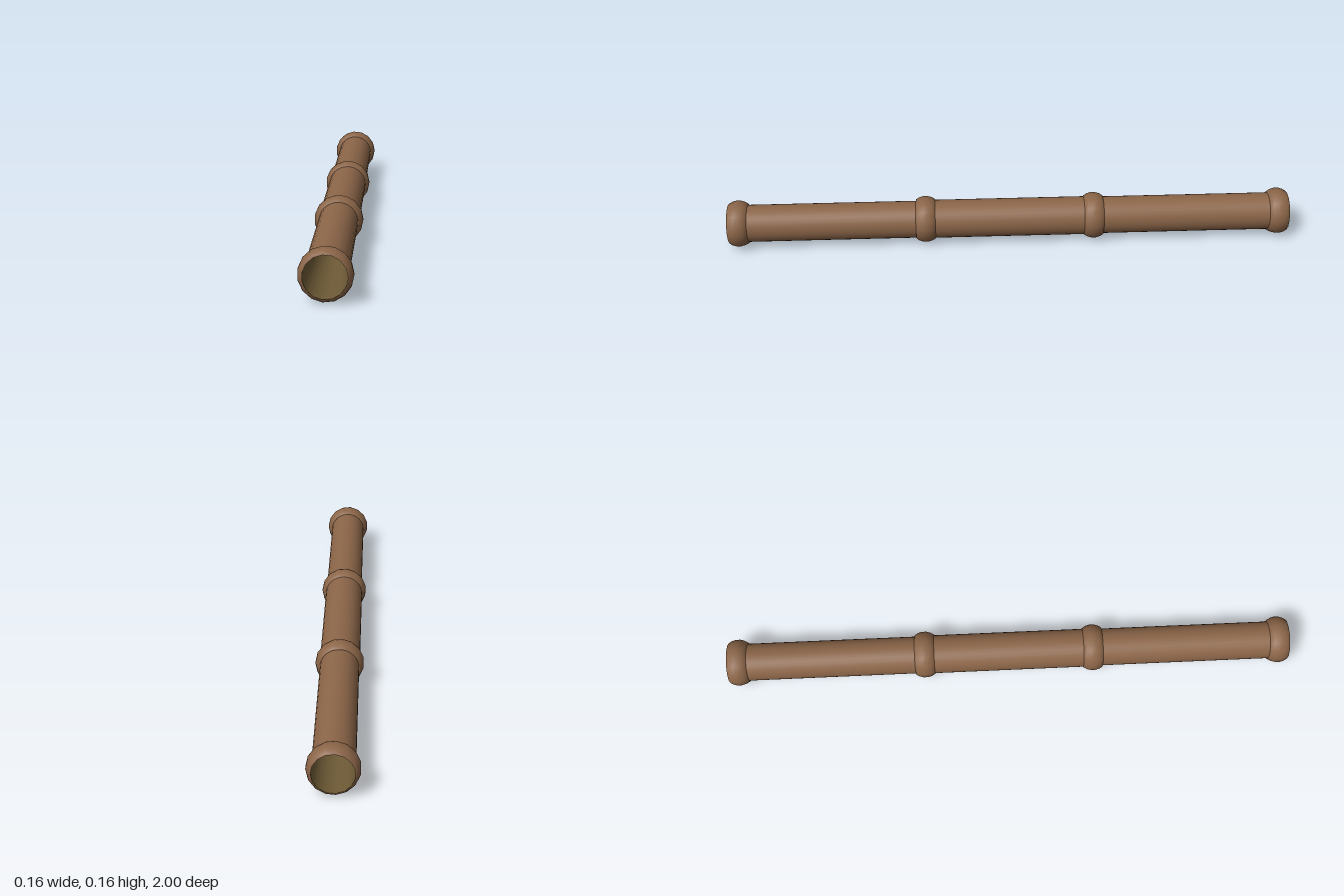
import * as THREE from 'three';

export function createModel() {
  const group = new THREE.Group();
  const wood = new THREE.MeshStandardMaterial({ color: 0x8b6548 });
  wood.name = 'brown wood';
  const inner = new THREE.MeshStandardMaterial({ color: 0x6c5935 });
  inner.name = 'olive inner wood';
  const axisY = 0.082;

  // Turns a [radius, z] profile around the long axis
  function turned(name, profile, sides, material, z = 0) {
    const points = profile.map(([r, h]) => new THREE.Vector2(r, h));
    const geometry = new THREE.LatheGeometry(points, sides, Math.PI / 2);
    geometry.rotateX(Math.PI / 2);
    const mesh = new THREE.Mesh(geometry, material);
    mesh.name = name;
    mesh.position.set(-0.001, axisY, z);
    group.add(mesh);
  }

  // Tube in three sections, the middle one slightly thicker
  turned('middleTube', [[0.068, -0.3], [0.068, 0.3]], 32, wood);
  turned('frontTube', [[0.066, 0.3], [0.066, 0.97]], 32, wood);
  turned('backTube', [[0.066, -0.97], [0.066, -0.3]], 32, wood);

  // Rounded rings at the joints and ends
  const ring = [[0.066, -0.035], [0.071, -0.034], [0.078, -0.022], [0.082, -0.008],
    [0.082, 0.008], [0.078, 0.022], [0.071, 0.034], [0.066, 0.035]];
  for (const [name, z] of [['frontEndRing', 0.965], ['frontJointRing', 0.3],
    ['backJointRing', -0.3], ['backEndRing', -0.965]]) {
    turned(name, ring, 15, wood, z);
  }

  // Bore open at both ends, narrowing to the middle
  const bore = [[0.066, 1], [0.062, 0.85], [0.045, 0.4], [0.028, 0.03],
    [0.028, -0.03], [0.045, -0.4], [0.062, -0.85], [0.066, -1]];
  turned('bore', bore, 32, inner);

  return group;
}
